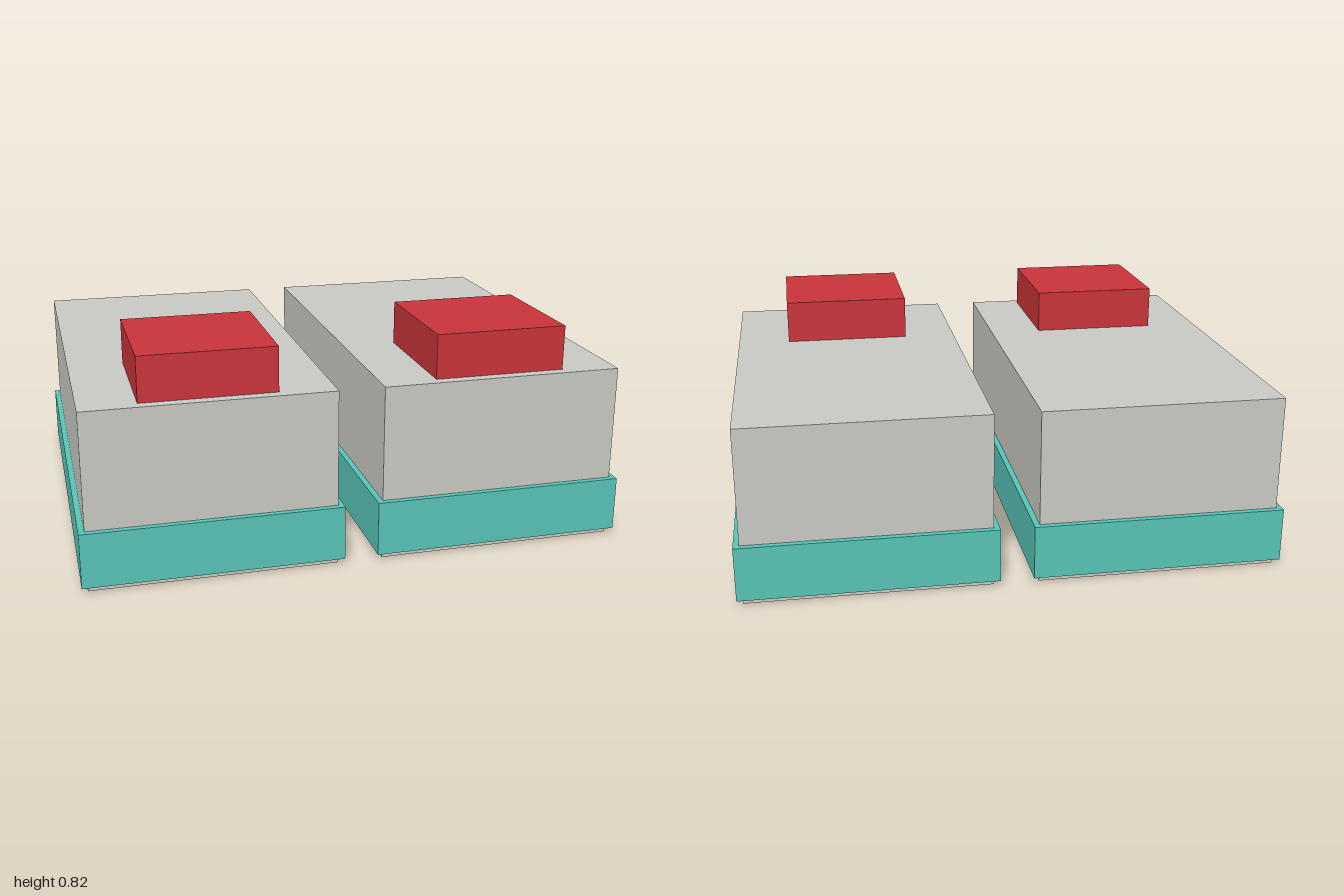
import * as THREE from 'three';

const paint = (name, color) => {
  const material = new THREE.MeshStandardMaterial({ color });
  material.name = name;
  return material;
};

// Box that spans y0 to y1, centred on x = 0 of its block
function slab(name, material, width, depth, y0, y1, z = 0) {
  const mesh = new THREE.Mesh(new THREE.BoxGeometry(width, y1 - y0, depth), material);
  mesh.name = name;
  mesh.position.set(0, (y0 + y1) / 2, z);
  return mesh;
}

export function createModel() {
  const grey = paint('warm grey', 0xc9c9c4);
  const teal = paint('teal', 0x58c4b6);
  const red = paint('red', 0xc9343a);

  const model = new THREE.Group();
  model.name = 'pairOfBlocks';

  // Two matching blocks side by side
  for (const [name, side] of [['leftBlock', 1], ['rightBlock', -1]]) {
    const block = new THREE.Group();
    block.name = name;
    block.position.x = side * 0.531;
    block.add(
      slab('body', grey, 0.895, 1.548, 0, 0.655),
      slab('lowerBand', teal, 0.938, 1.592, 0.022, 0.225),
      slab('topBlock', red, 0.488, 0.488, 0.655, 0.82, 0.49), // near the front edge
    );
    model.add(block);
  }
  return model;
}
